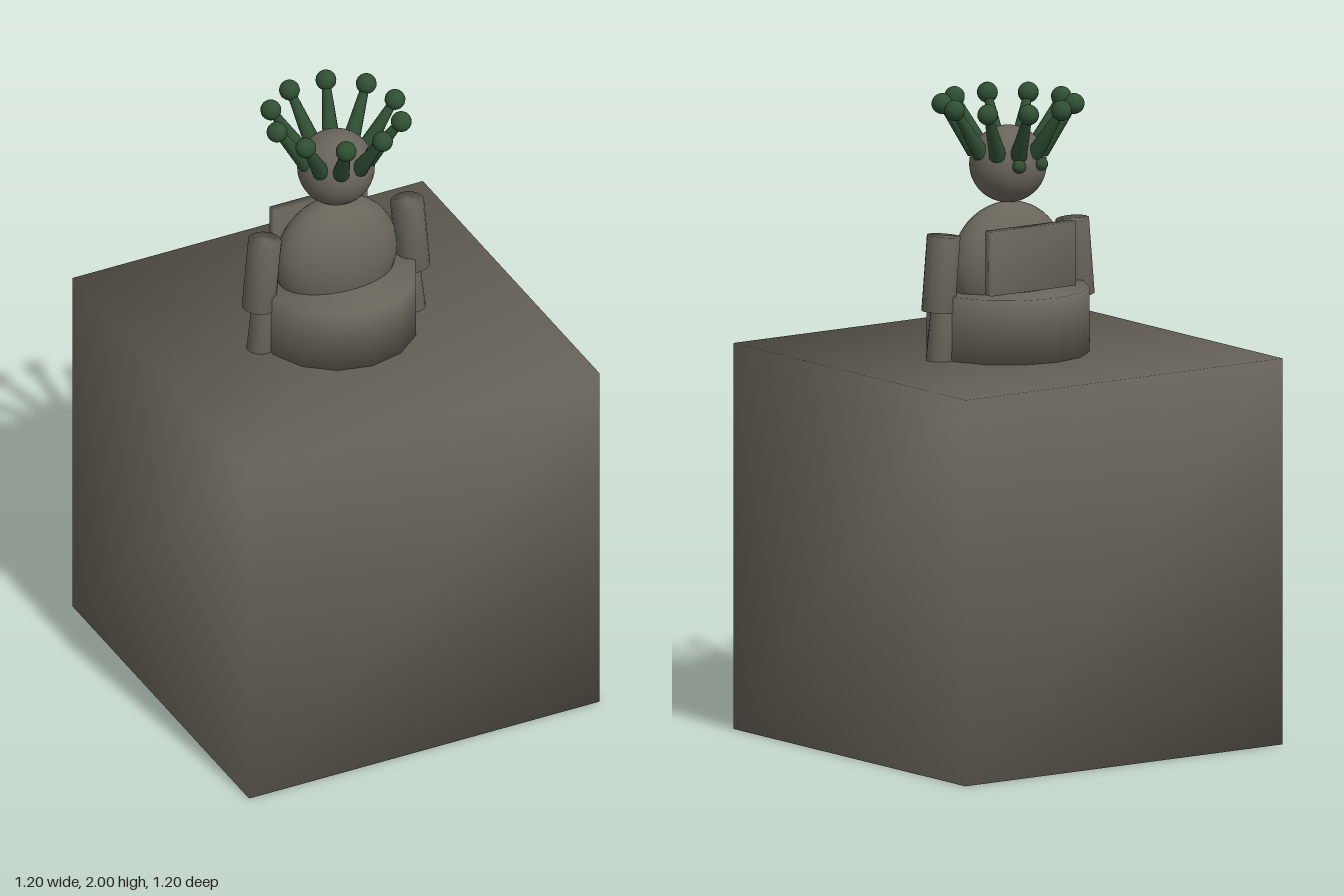
import * as THREE from 'three';
import { mergeVertices } from 'three/addons/utils/BufferGeometryUtils.js';

const stone = new THREE.MeshStandardMaterial({ name: 'stone', color: 0x6a655b });
const green = new THREE.MeshStandardMaterial({ name: 'darkGreen', color: 0x2f4f33 });

// Share corner vertices so shading flows smoothly over the edges
function soften(geometry) {
  geometry.deleteAttribute('normal');
  geometry.deleteAttribute('uv');
  const merged = mergeVertices(geometry, 1e-4);
  merged.computeVertexNormals();
  return merged;
}

function add(parent, name, geometry, material, x, y, z) {
  const mesh = new THREE.Mesh(geometry, material);
  mesh.name = name;
  mesh.position.set(x, y, z);
  parent.add(mesh);
  return mesh;
}

export function createModel() {
  const model = new THREE.Group();
  model.name = 'crownedStatue';

  // Plinth and drum-shaped lower body
  add(model, 'plinth', soften(new THREE.BoxGeometry(1.2, 1.2, 1.2)), stone, 0, 0.6, 0);
  add(model, 'drumBase', soften(new THREE.CylinderGeometry(0.25, 0.25, 0.2, 14)), stone, 0, 1.3, 0);

  // Torso, head and back plate
  const torso = add(model, 'torso', new THREE.SphereGeometry(0.2, 32, 24), stone, 0, 1.465, 0);
  torso.scale.z = 0.61;
  add(model, 'head', new THREE.SphereGeometry(0.119, 32, 24), stone, 0, 1.782, 0);
  add(model, 'backPlate', soften(new THREE.BoxGeometry(0.32, 0.2, 0.03)), stone, 0, 1.505, -0.118);

  // Arms and eyes, mirrored
  const upperArm = soften(new THREE.CylinderGeometry(0.052, 0.052, 0.235, 16));
  const lowerArm = soften(new THREE.CylinderGeometry(0.044, 0.044, 0.2, 16));
  const eye = new THREE.SphereGeometry(0.021, 16, 12);
  for (const side of [-1, 1]) {
    const label = side > 0 ? 'left' : 'right';
    add(model, label + 'UpperArm', upperArm, stone, side * 0.254, 1.467, 0).rotation.z = side * 0.09;
    add(model, label + 'LowerArm', lowerArm, stone, side * 0.247, 1.285, 0).rotation.z = side * 0.12;
    add(model, label + 'Eye', eye, green, side * 0.042, 1.793, -0.115);
  }

  // Crown: ten tapered spikes leaning outward, each tipped with a ball
  const crown = new THREE.Group();
  crown.name = 'crown';
  model.add(crown);
  const rise = 0.15, lean = 0.102;
  const spike = soften(new THREE.CylinderGeometry(0.012, 0.027, Math.hypot(rise, lean), 12));
  const ball = new THREE.SphereGeometry(0.032, 16, 12);
  for (let i = 0; i < 10; i++) {
    const prong = new THREE.Group();
    prong.name = 'crownProng';
    prong.rotation.y = (i * Math.PI) / 5;
    add(prong, 'spike', spike, green, 0.1 + lean / 2, 1.82 + rise / 2, 0).rotation.z = -Math.atan2(lean, rise);
    add(prong, 'spikeBall', ball, green, 0.202, 1.968, 0);
    crown.add(prong);
  }
  return model;
}
